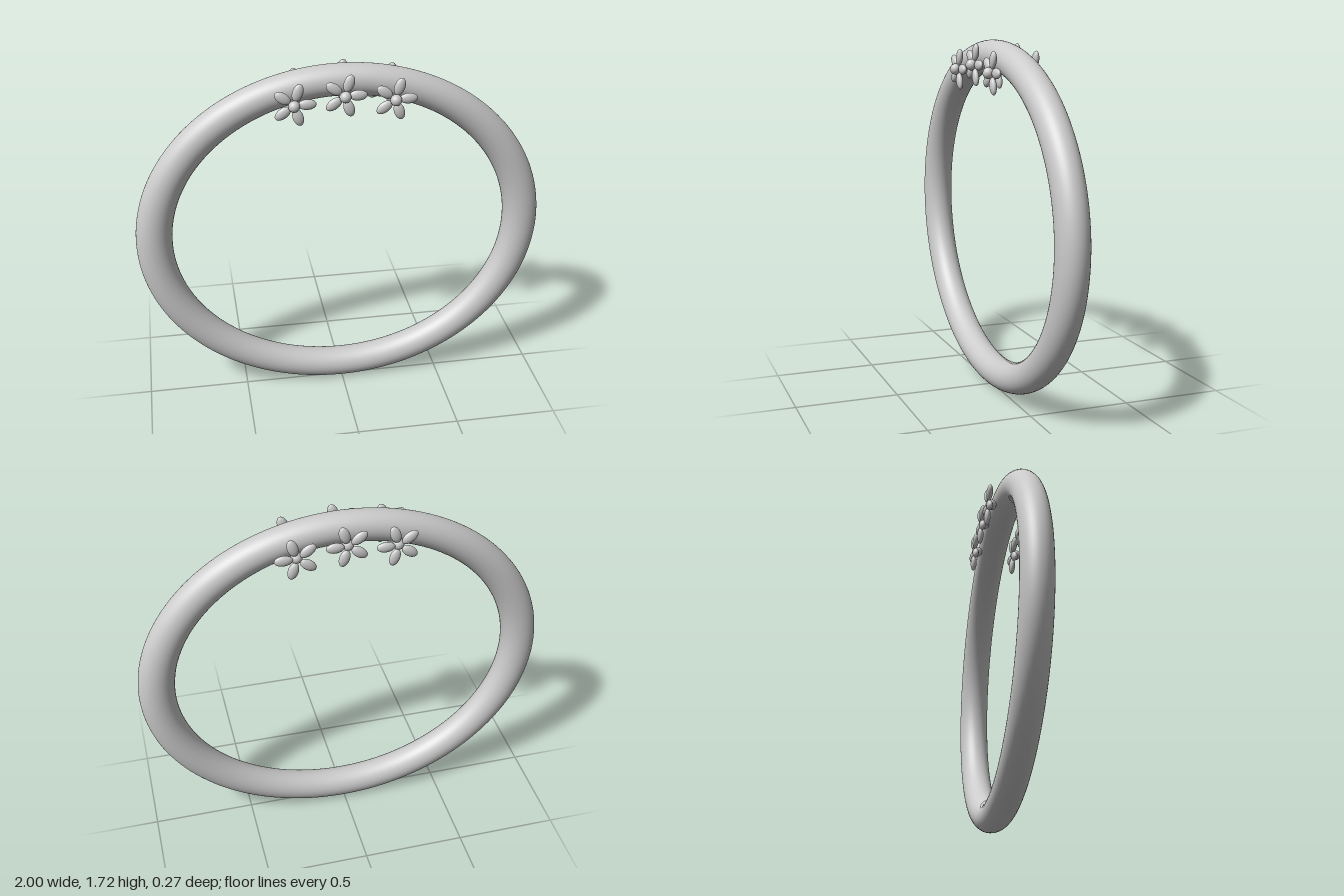
import * as THREE from 'three';

const material = new THREE.MeshStandardMaterial({ color: 0xcccccc });
const MID_Z = -0.012;

// Five flattened petals around a small round core, facing +z
function createFlower(name) {
  const flower = new THREE.Group();
  flower.name = name;

  const petalGeometry = new THREE.SphereGeometry(1, 24, 16);
  petalGeometry.scale(0.043, 0.025, 0.016);
  petalGeometry.translate(0.062, 0, 0);
  for (let i = 0; i < 5; i++) {
    const petal = new THREE.Mesh(petalGeometry, material);
    petal.name = `petal${i + 1}`;
    petal.rotation.z = (i * Math.PI * 2) / 5;
    flower.add(petal);
  }

  const core = new THREE.Mesh(new THREE.SphereGeometry(0.027, 24, 16), material);
  core.name = 'flowerCore';
  core.position.z = 0.015;
  flower.add(core);
  return flower;
}

export function createModel() {
  const model = new THREE.Group();
  model.name = 'flowerHoop';

  // Oval hoop: a torus stretched sideways
  const hoopGeometry = new THREE.TorusGeometry(0.786, 0.075, 40, 160);
  hoopGeometry.scale(1 / 0.861, 1, 1);
  const hoop = new THREE.Mesh(hoopGeometry, material);
  hoop.name = 'hoop';
  hoop.position.set(0, 0.861, MID_Z);
  model.add(hoop);

  // Three flowers in front of the hoop and three behind, all facing forward
  for (const [side, offset] of [['front', 0.105], ['back', -0.105]]) {
    [-0.235, 0, 0.235].forEach((x, i) => {
      const flower = createFlower(`${side}Flower${i + 1}`);
      flower.position.set(x, x === 0 ? 1.604 : 1.574, MID_Z + offset);
      model.add(flower);
    });
  }
  return model;
}
